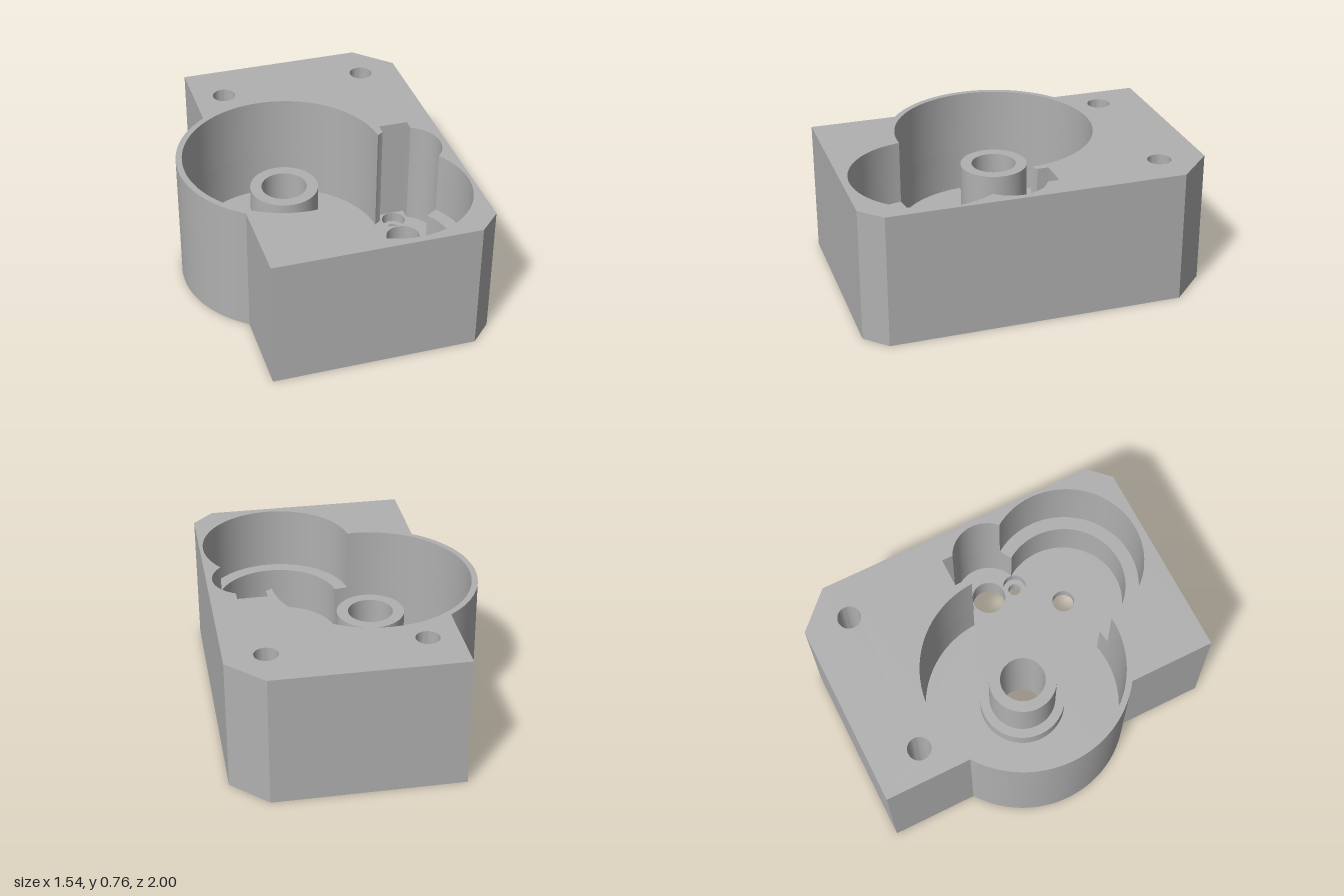
import * as THREE from 'three';
import { toCreasedNormals } from 'three/addons/utils/BufferGeometryUtils.js';

// Plan coordinates are (x, v) with v = -z, counter-clockwise seen from above.
const TOP = 0.765, LEDGE = 0.395, FLOOR = 0.13;
const SEG = 48;

const drum = { x: -0.16, v: 0, r: 0.575 };
const gearWide = { x: 0.31, v: -0.52, r: 0.44 };
const gearNarrow = { x: 0.31, v: -0.52, r: 0.36 };
const motor = { x: 0.535, v: -0.125, r: 0.2 };

// Crossing of two circles; side +1 lies left of the line from a to b
function meet(a, b, side) {
  const dx = b.x - a.x, dv = b.v - a.v, d = Math.hypot(dx, dv);
  const m = (d * d + a.r * a.r - b.r * b.r) / (2 * d);
  const h = side * Math.sqrt(a.r * a.r - m * m);
  return new THREE.Vector2(a.x + (dx * m - dv * h) / d, a.v + (dv * m + dx * h) / d);
}

// Counter-clockwise arc on a circle between two points
function arc(c, from, to) {
  const a0 = Math.atan2(from.y - c.v, from.x - c.x);
  let a1 = Math.atan2(to.y - c.v, to.x - c.x);
  if (a1 <= a0) a1 += Math.PI * 2;
  const n = Math.max(2, Math.ceil((a1 - a0) / 0.07));
  return Array.from({ length: n + 1 }, (_, i) => {
    const a = a0 + (a1 - a0) * i / n;
    return new THREE.Vector2(c.x + c.r * Math.cos(a), c.v + c.r * Math.sin(a));
  });
}

function circle(x, v, r) {
  return Array.from({ length: SEG }, (_, i) => {
    const a = i / SEG * Math.PI * 2;
    return new THREE.Vector2(x + r * Math.cos(a), v + r * Math.sin(a));
  });
}

// Flat horizontal face with holes
function face(points, holes, y, down = false) {
  const shape = new THREE.Shape(points);
  holes.forEach(h => shape.holes.push(new THREE.Path(h)));
  const geo = new THREE.ShapeGeometry(shape);
  geo.rotateX(down ? Math.PI / 2 : -Math.PI / 2);
  if (down) {
    // mirror z so the downward face keeps the same plan
    geo.scale(1, 1, -1);
    const ix = geo.index;
    for (let i = 0; i < ix.count; i += 3) {
      const t = ix.getX(i);
      ix.setX(i, ix.getX(i + 1));
      ix.setX(i + 1, t);
    }
    geo.computeVertexNormals();
  }
  return geo.translate(0, y, 0);
}

// Upright wall along a closed outline; inward walls face the cavity
function wall(points, y0, y1, inward = false) {
  const pos = [];
  points.forEach((p, i) => {
    let a = p, b = points[(i + 1) % points.length];
    if (a.distanceTo(b) < 1e-6) return;
    if (inward) [a, b] = [b, a];
    pos.push(a.x, y0, -a.y, b.x, y0, -b.y, b.x, y1, -b.y);
    pos.push(a.x, y0, -a.y, b.x, y1, -b.y, a.x, y1, -a.y);
  });
  const geo = new THREE.BufferGeometry();
  geo.setAttribute('position', new THREE.Float32BufferAttribute(pos, 3));
  return toCreasedNormals(geo, 0.4);
}

function turned(x, v, profile) {
  const geo = new THREE.LatheGeometry(profile.map(p => new THREE.Vector2(...p)), SEG);
  return toCreasedNormals(geo, 0.4).translate(x, 0, -v);
}

// Joined outline of drum, gear and motor pockets
function cavity(gear) {
  const drumGear = meet(drum, gear, -1), gearMotor = meet(gear, motor, -1);
  const motorDrum = meet(drum, motor, 1);
  const notchV = half => motor.v + Math.sqrt(motor.r ** 2 - half ** 2);
  const right = new THREE.Vector2(0.62, notchV(0.085));
  const left = new THREE.Vector2(0.45, notchV(0.085));
  return [
    ...arc(drum, motorDrum, drumGear),
    ...arc(gear, drumGear, gearMotor).slice(1),
    ...arc(motor, gearMotor, right).slice(1),
    new THREE.Vector2(0.62, 0.121), new THREE.Vector2(0.45, 0.121),
    ...arc(motor, left, motorDrum).slice(0, -1)
  ];
}

export function createModel() {
  const model = new THREE.Group();
  const grey = new THREE.MeshStandardMaterial({ color: 0xb0b0b0 });
  grey.name = 'grey';
  const add = (name, geo) => {
    const mesh = new THREE.Mesh(geo, grey);
    mesh.name = name;
    model.add(mesh);
  };

  // Block outline with two chamfers and a round bulge
  const V = (x, v) => new THREE.Vector2(x, v);
  const outline = [
    V(-0.51, -1), V(0.65, -1), V(0.77, -0.88), V(0.77, 0.8), V(0.57, 1), V(-0.51, 1),
    ...arc({ x: -0.16, v: 0, r: 0.61 }, V(-0.51, 0.5), V(-0.51, -0.5))
  ];
  const upper = cavity(gearWide), lower = cavity(gearNarrow);

  // Holes: position and profile from top to bottom
  const screwHoles = [[-0.33, 0.72, TOP], [0.54, 0.74, TOP], [0.31, -0.52, FLOOR]];
  const blindHoles = [[0.57, 0.43], [-0.19, -0.75]];
  const motorScrews = [[0.535, 0.05], [0.535, -0.3]];

  // Housing
  add('outerWall', wall(outline, 0, TOP));
  add('topFace', face(outline, [
    upper, ...screwHoles.slice(0, 2).map(([x, v]) => circle(x, v, 0.067))
  ], TOP));
  add('bottomFace', face(outline, [
    circle(drum.x, drum.v, 0.13), circle(motor.x, motor.v, 0.1),
    ...screwHoles.map(([x, v]) => circle(x, v, 0.135)),
    ...blindHoles.map(([x, v]) => circle(x, v, 0.078)),
    ...motorScrews.map(([x, v]) => circle(x, v, 0.037))
  ], 0, true));

  // Stepped cavity
  add('upperCavityWall', wall(upper, LEDGE, TOP, true));
  add('lowerCavityWall', wall(lower, FLOOR, LEDGE, true));
  const rim = g => arc(g, meet(drum, g, -1), meet(g, motor, -1));
  add('gearLedge', face([...rim(gearWide), ...rim(gearNarrow).reverse()], [], LEDGE));
  add('cavityFloor', face(lower, [
    circle(drum.x, drum.v, 0.25), circle(motor.x, motor.v, 0.1),
    circle(0.31, -0.52, 0.067),
    ...motorScrews.map(([x, v]) => circle(x, v, 0.069))
  ], FLOOR));

  // Hollow shaft boss with a flange at its foot
  add('shaftBoss', turned(drum.x, drum.v, [
    [0.25, FLOOR], [0.25, 0.23], [0.195, 0.23], [0.195, 0.545], [0.13, 0.545], [0.13, 0]
  ]));

  // Hole walls
  add('motorShaftHole', turned(motor.x, motor.v, [[0.1, FLOOR], [0.1, 0]]));
  screwHoles.forEach(([x, v, y]) =>
    add('countersunkHole', turned(x, v, [[0.067, y], [0.067, 0.07], [0.135, 0]])));
  blindHoles.forEach(([x, v]) =>
    add('blindHole', turned(x, v, [[0, 0.4], [0.078, 0.4], [0.078, 0]])));
  motorScrews.forEach(([x, v]) =>
    add('motorScrewHole', turned(x, v, [[0.069, FLOOR], [0.069, 0.07], [0.037, 0.07], [0.037, 0]])));

  return model;
}
